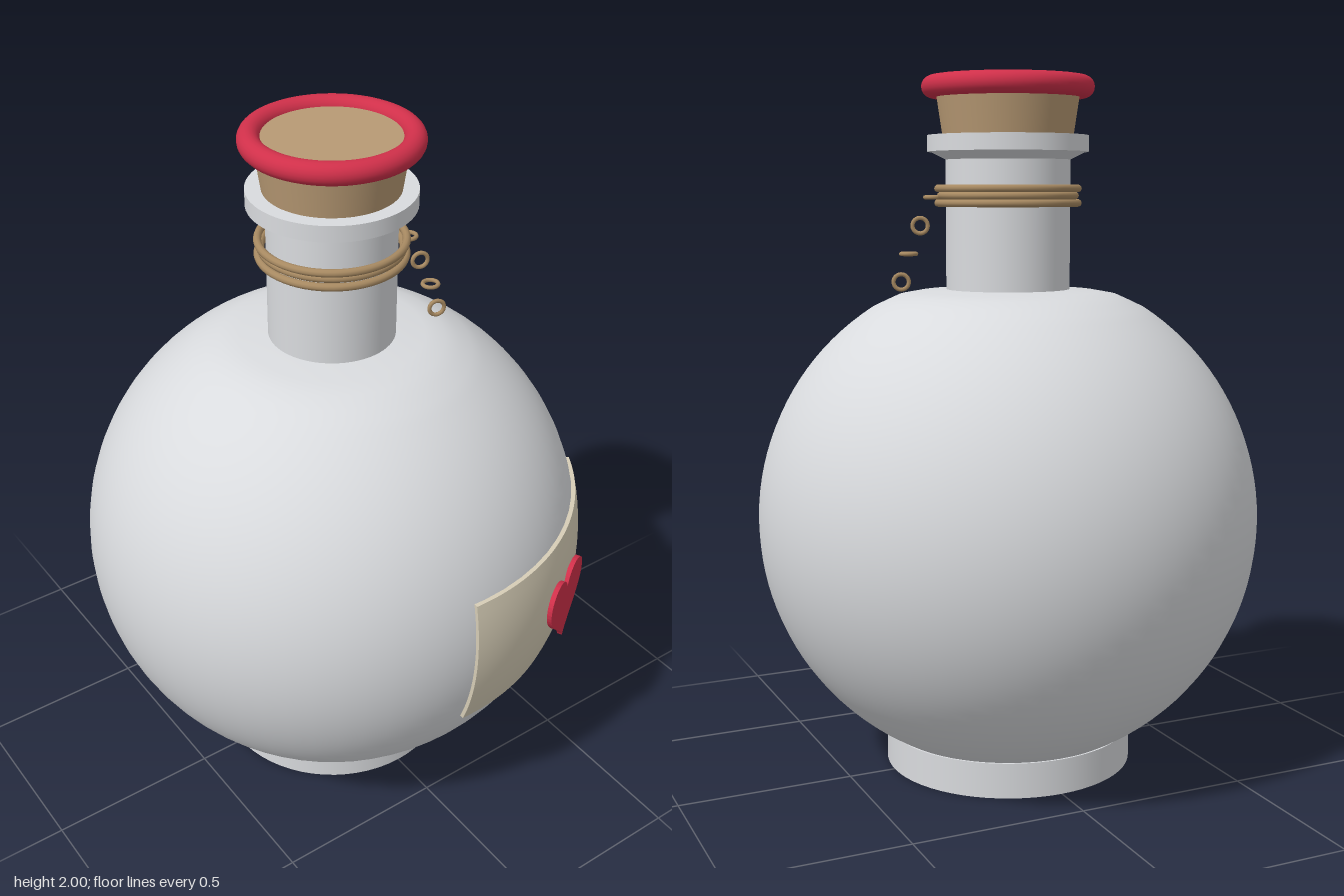
import * as THREE from 'three';

const material = (name, color) => {
  const m = new THREE.MeshStandardMaterial({ color });
  m.name = name;
  return m;
};

export function createModel() {
  const glass = material('pale glass', 0xd9dbde);
  const cork = material('cork', 0xb89a74);
  const red = material('red', 0xd0304a);
  const paper = material('paper', 0xd6cdb6);
  const twine = material('twine', 0xa88a62);

  const model = new THREE.Group();
  model.name = 'potionBottle';
  const bottle = new THREE.Group();
  bottle.name = 'bottle';
  bottle.position.z = -0.008;
  model.add(bottle);

  const add = (name, geometry, mat, x = 0, y = 0, z = 0) => {
    const mesh = new THREE.Mesh(geometry, mat);
    mesh.name = name;
    mesh.position.set(x, y, z);
    bottle.add(mesh);
    return mesh;
  };
  const lathe = (points) =>
    new THREE.LatheGeometry(points.map(([r, y]) => new THREE.Vector2(r, y)), 64);

  // Round body with a flattened shoulder
  const R = 0.727, centreY = 0.735;
  const body = [];
  const a0 = -1.06, a1 = 1.0;
  for (let i = 0; i <= 40; i++) {
    const a = a0 + (a1 - a0) * i / 40;
    body.push([R * Math.cos(a), centreY + R * Math.sin(a)]);
  }
  body.push([0.355, 1.365], [0.315, 1.383], [0.26, 1.393], [0.17, 1.4]);
  add('body', lathe(body), glass);

  // Foot, neck and lip
  add('foot', new THREE.CylinderGeometry(0.363, 0.363, 0.102, 64), glass, 0, 0.051);
  add('neck', new THREE.CylinderGeometry(0.178, 0.178, 0.42, 64, 1, true), glass, 0, 1.59);
  add('lipUnderside', new THREE.CylinderGeometry(0.222, 0.178, 0.022, 64, 1, true), glass, 0, 1.777);
  add('lip', new THREE.CylinderGeometry(0.23, 0.23, 0.046, 64), glass, 0, 1.811);

  // Cork with a wax ring around its top
  add('cork', new THREE.CylinderGeometry(0.208, 0.185, 0.155, 64), cork, 0, 1.9);
  const wax = add('waxRing', new THREE.TorusGeometry(0.215, 0.031, 20, 72), red, 0, 1.969);
  wax.rotation.x = Math.PI / 2;

  // Twine wound around the neck
  [[1.685, 0.2], [1.665, 0.192], [1.644, 0.2]].forEach(([y, r], i) => {
    const loop = add('twineLoop' + (i + 1), new THREE.TorusGeometry(r, 0.011, 10, 64), twine, 0, y);
    loop.rotation.x = Math.PI / 2;
  });

  // Dangling links, alternately flat and upright
  const links = [[0.203, 1.66, 0.072], [0.238, 1.58, 0.083], [0.27, 1.5, 0.093], [0.291, 1.42, 0.1]];
  links.forEach(([x, y, z], i) => {
    const link = add('link' + (i + 1), new THREE.TorusGeometry(0.022, 0.006, 8, 24), twine, x, y, z);
    if (i % 2) link.rotation.y = -0.32;
    else link.rotation.x = Math.PI / 2;
  });

  // Paper label: a thin box wrapped onto the sphere
  const label = new THREE.BoxGeometry(1.11, 0.435, 0.012, 32, 14, 1);
  const p = label.attributes.position;
  for (let i = 0; i < p.count; i++) {
    const turn = p.getX(i) + 0.505;
    const h = p.getY(i) + 0.6925 - centreY;
    const r = 0.732 + p.getZ(i);
    const ring = Math.sqrt(r * r - h * h);
    p.setXYZ(i, ring * Math.sin(turn), centreY + h, ring * Math.cos(turn));
  }
  label.computeVertexNormals();
  add('label', label, paper);

  // Flat heart standing on the label
  const s = new THREE.Shape();
  s.moveTo(0, -0.118);
  s.bezierCurveTo(0.02, -0.07, 0.126, -0.02, 0.126, 0.052);
  s.bezierCurveTo(0.126, 0.13, 0.025, 0.14, 0, 0.068);
  s.bezierCurveTo(-0.025, 0.14, -0.126, 0.13, -0.126, 0.052);
  s.bezierCurveTo(-0.126, -0.02, -0.02, -0.07, 0, -0.118);
  const heartGeometry = new THREE.ExtrudeGeometry(s, { depth: 0.014, bevelEnabled: false, curveSegments: 16 });
  const turn = 0.485, out = 0.735;
  const heart = add('heart', heartGeometry, red, out * Math.sin(turn) + 0.01, 0.678, out * Math.cos(turn) - 0.005);
  heart.rotation.y = turn;

  return model;
}
